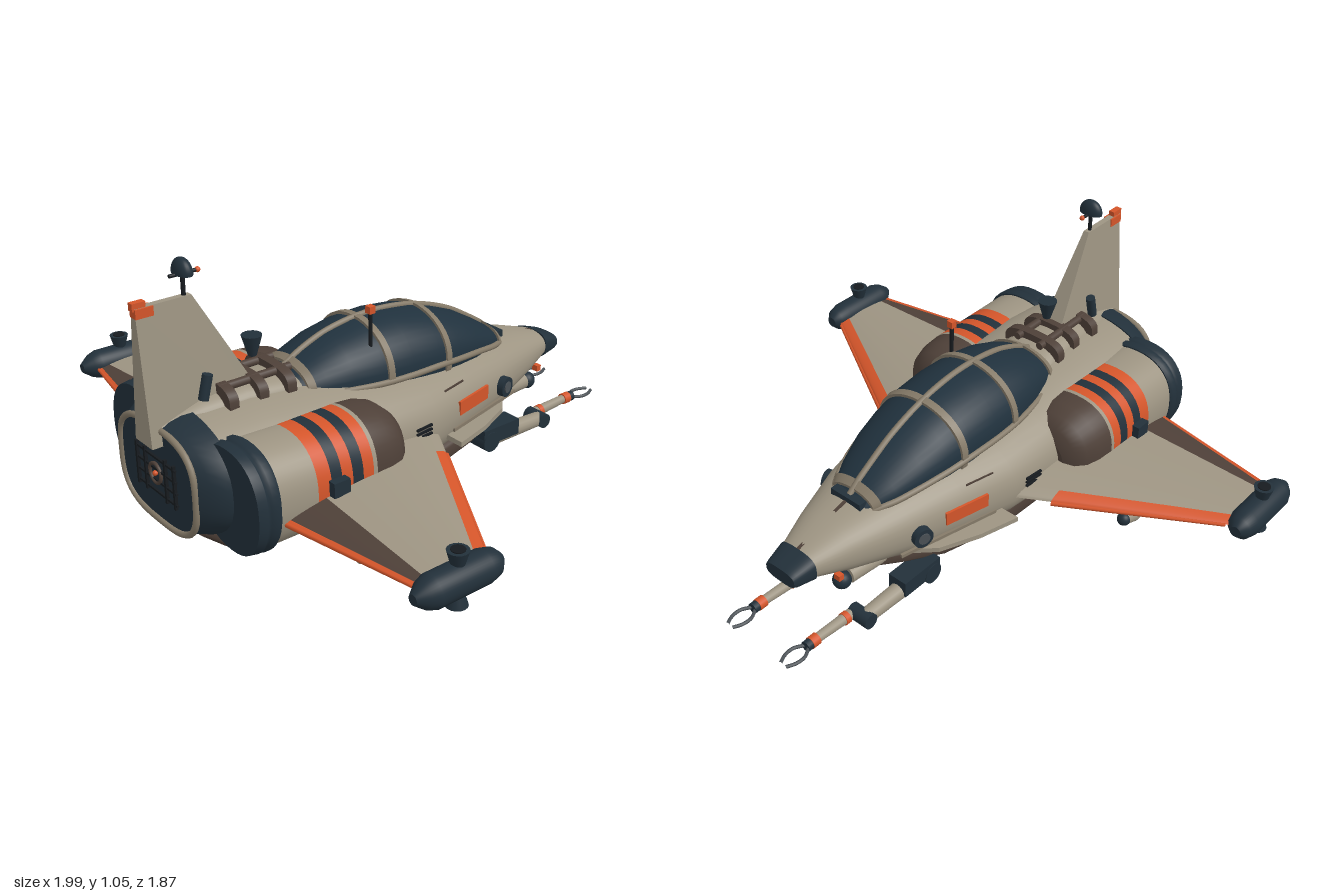
import * as THREE from 'three';

const M = {};
for (const [name, color] of Object.entries({
  hullBeige: 0x9d9482, trimBeige: 0x857a68, orange: 0xd4552a, navy: 0x22303a, glass: 0x20313d,
  brown: 0x4e4038, black: 0x171b1f, steel: 0x4a5055 })) M[name] = new THREE.MeshStandardMaterial({ color, name });
const V = (x, y, z) => new THREE.Vector3(x, y, z);

// Superellipse cross-sections [z, halfWidth, bottom, top] joined into a closed skin
function loft(sections, { cx = 0, n = 2.3, seg = 40 } = {}) {
  const pos = [], idx = [], K = sections.length;
  const ring = ([z, w, b, t]) => {
    for (let i = 0; i < seg; i++) {
      const a = i / seg * Math.PI * 2, c = Math.cos(a), s = Math.sin(a);
      pos.push(cx + w * Math.sign(c) * Math.abs(c) ** (2 / n), (b + t) / 2 + (t - b) / 2 * Math.sign(s) * Math.abs(s) ** (2 / n), z);
    }
  };
  sections.forEach(ring);
  for (let k = 0; k < K - 1; k++) for (let i = 0; i < seg; i++) {
    const j = (i + 1) % seg, a = k * seg, b = a + seg;
    idx.push(a + i, a + j, b + j, a + i, b + j, b + i);
  }
  for (const end of [0, K - 1]) {
    const start = pos.length / 3, [z, , b, t] = sections[end];
    ring(sections[end]);
    pos.push(cx, (b + t) / 2, z);
    for (let i = 0; i < seg; i++) {
      const j = (i + 1) % seg;
      idx.push(start + seg, start + (end ? i : j), start + (end ? j : i));
    }
  }
  const g = new THREE.BufferGeometry();
  g.setAttribute('position', new THREE.Float32BufferAttribute(pos, 3));
  g.setIndex(idx);
  g.computeVertexNormals();
  return g;
}

export function createModel() {
  const root = new THREE.Group();
  root.name = 'spacecraft';
  const add = (name, geo, mat, x = 0, y = 0, z = 0) => {
    const m = new THREE.Mesh(geo, M[mat]);
    m.name = name;
    m.position.set(x, y, z);
    root.add(m);
    return m;
  };
  const box = (name, mat, w, h, d, x, y, z) => add(name, new THREE.BoxGeometry(w, h, d), mat, x, y, z);
  const rod = (name, mat, a, b, r0, r1 = r0, seg = 16) => {
    const d = b.clone().sub(a), mid = a.clone().add(b).multiplyScalar(0.5);
    const m = add(name, new THREE.CylinderGeometry(r1, r0, d.length(), seg), mat, mid.x, mid.y, mid.z);
    m.quaternion.setFromUnitVectors(V(0, 1, 0), d.normalize());
    return m;
  };
  const ball = (name, mat, r, x, y, z) => add(name, new THREE.SphereGeometry(r, 20, 14), mat, x, y, z);
  const tube = (name, mat, pts, r, closed = false) =>
    add(name, new THREE.TubeGeometry(new THREE.CatmullRomCurve3(pts, closed), 64, r, 8, closed), mat);

  // Hull, nose cap, tail section and belly
  add('hull', loft([[-0.73, 0.078, 0.335, 0.43], [-0.6, 0.13, 0.29, 0.47], [-0.4, 0.2, 0.24, 0.51], [-0.2, 0.25, 0.205, 0.53],
    [0, 0.3, 0.18, 0.545], [0.2, 0.32, 0.17, 0.565], [0.4, 0.315, 0.17, 0.585], [0.6, 0.305, 0.18, 0.595], [0.79, 0.295, 0.2, 0.583]]), 'hullBeige');
  add('noseCap', loft([[-0.805, 0.064, 0.35, 0.405], [-0.79, 0.069, 0.343, 0.412], [-0.725, 0.082, 0.332, 0.434]], { n: 3 }), 'navy');
  add('tailSection', loft([[0.785, 0.302, 0.195, 0.588], [0.82, 0.295, 0.198, 0.583], [0.86, 0.262, 0.208, 0.572], [0.888, 0.228, 0.215, 0.56]]), 'navy');
  add('belly', loft([[-0.56, 0.09, 0.272, 0.32], [-0.4, 0.155, 0.222, 0.29], [-0.25, 0.2, 0.175, 0.26], [0, 0.235, 0.135, 0.24], [0.35, 0.24, 0.12, 0.24],
    [0.65, 0.22, 0.13, 0.24], [0.76, 0.19, 0.145, 0.24], [0.82, 0.15, 0.19, 0.25]], { n: 4 }), 'brown');
  box('noseSeam', 'brown', 0.012, 0.012, 0.23, 0, 0.455, -0.62).rotation.x = -0.27;

  // Rear hatch with rim, bars and lock wheel
  const oval = (w, h, z) => Array.from({ length: 32 }, (_, i) => {
    const c = Math.cos(i * Math.PI / 16), s = Math.sin(i * Math.PI / 16);
    return V(w * Math.sign(c) * Math.abs(c) ** 0.65, 0.385 + h * Math.sign(s) * Math.abs(s) ** 0.65, z);
  });
  tube('hatchRim', 'trimBeige', oval(0.222, 0.165, 0.888), 0.011, true);
  for (const y of [0.325, 0.365, 0.405, 0.445]) box('hatchBar', 'black', 0.24, 0.007, 0.008, 0, y, 0.892);
  for (const x of [-0.11, -0.06, 0.06, 0.11]) box('hatchPost', 'black', 0.01, 0.15, 0.01, x, 0.385, 0.893);
  add('hatchWheel', new THREE.TorusGeometry(0.033, 0.006, 8, 24), 'brown', 0, 0.39, 0.895);
  ball('hatchHub', 'orange', 0.009, 0, 0.39, 0.896);

  // Canopy glass and its frame
  const can = [[-0.49, 0.075, 0.44, 0.503], [-0.45, 0.1, 0.44, 0.535], [-0.4, 0.125, 0.43, 0.567], [-0.3, 0.157, 0.41, 0.625], [-0.2, 0.176, 0.39, 0.665],
    [-0.1, 0.188, 0.38, 0.692], [0.02, 0.192, 0.37, 0.706], [0.14, 0.188, 0.38, 0.702], [0.25, 0.172, 0.41, 0.682], [0.34, 0.148, 0.45, 0.648], [0.42, 0.115, 0.5, 0.605]];
  const canAt = z => {
    const i = Math.min(can.length - 2, Math.max(0, can.findIndex(c => c[0] > z) - 1)), f = (z - can[i][0]) / (can[i + 1][0] - can[i][0]);
    return can[i].map((v, k) => v + (can[i + 1][k] - v) * f);
  };
  add('canopyGlass', loft(can, { n: 2.1 }), 'glass');
  for (const z of [-0.465, -0.14, 0.115, 0.39]) add('canopyArch', loft([-0.012, 0.012].map(d => {
    const [zz, w, b, t] = canAt(z + d);
    return [zz, w + 0.008, b, t + 0.01];
  }), { n: 2.1 }), 'trimBeige');
  tube('canopySpine', 'trimBeige', can.map(c => V(0, c[3], c[0])), 0.011);
  for (const s of [1, -1]) tube('canopySill', 'trimBeige', can.map(c => V(s * (c[1] + 0.002), (c[2] + c[3]) / 2 - 0.005, c[0])), 0.011);
  box('canopyLatch', 'navy', 0.13, 0.025, 0.03, 0, 0.495, -0.495);

  // Dorsal spine, hoops and vents
  add('dorsalSpine', loft([[0.37, 0.12, 0.5, 0.59], [0.45, 0.112, 0.5, 0.62], [0.6, 0.1, 0.5, 0.625], [0.75, 0.085, 0.5, 0.61], [0.885, 0.06, 0.48, 0.575]]), 'hullBeige');
  for (const [z, w] of [[0.46, 0.122], [0.56, 0.115], [0.67, 0.115]])
    add('dorsalHoop', loft([[z - 0.017, w, 0.53, 0.645], [z + 0.017, w, 0.53, 0.645]], { n: 3 }), 'brown');
  rod('dorsalPipe', 'brown', V(0.05, 0.63, 0.42), V(0.05, 0.63, 0.68), 0.014);
  rod('dorsalPipe', 'brown', V(-0.05, 0.63, 0.42), V(-0.05, 0.63, 0.68), 0.014);
  for (const s of [1, -1]) rod('tailVent', 'navy', V(s * 0.05, 0.61, 0.74), V(s * 0.05, 0.69, 0.72), 0.017);

  // Floating manoeuvring bells above and below
  rod('upperBell', 'navy', V(0, 0.68, 0.525), V(0, 0.75, 0.525), 0.014, 0.034);
  rod('lowerBell', 'navy', V(0, 0.08, 0.525), V(0, 0.01, 0.525), 0.014, 0.034);

  // Tail fin tapering upward, with mast and dish
  const finShape = new THREE.Shape([[-0.925, 0.5], [-0.925, 0.94], [-0.735, 0.94], [-0.555, 0.62], [-0.54, 0.5]].map(p => new THREE.Vector2(...p)));
  const fin = new THREE.ExtrudeGeometry(finShape, { depth: 1, bevelEnabled: false });
  fin.rotateY(Math.PI / 2);
  const fp = fin.attributes.position;
  for (let i = 0; i < fp.count; i++) fp.setX(i, (fp.getX(i) - 0.5) * THREE.MathUtils.mapLinear(fp.getY(i), 0.5, 0.94, 0.1, 0.022));
  fin.computeVertexNormals();
  add('tailFin', fin, 'hullBeige');
  box('finPatch', 'orange', 0.034, 0.03, 0.06, 0, 0.924, 0.896);
  box('finLight', 'orange', 0.022, 0.025, 0.045, 0, 0.945, 0.91);
  rod('dishMast', 'black', V(0, 0.93, 0.755), V(0, 1.03, 0.755), 0.007);
  add('dish', new THREE.SphereGeometry(0.045, 24, 10, 0, Math.PI * 2, 0, Math.PI / 2), 'navy', 0, 1.013, 0.755).scale.z = 0.6;
  rod('dishBase', 'navy', V(0, 1.008, 0.755), V(0, 1.014, 0.755), 0.045, 0.045, 24).scale.z = 0.6;
  rod('dishFeed', 'black', V(0, 1.008, 0.8), V(0, 1.008, 0.71), 0.006);
  ball('dishFeedTip', 'orange', 0.009, 0, 1.008, 0.703);
  rod('beaconMast', 'black', V(0.13, 0.6, 0.155), V(0.13, 0.77, 0.155), 0.007);
  box('beacon', 'orange', 0.024, 0.025, 0.024, 0.13, 0.78, 0.155);

  // Wing surface rules
  const span = x => (x - 0.25) / 0.65;
  const lead = x => THREE.MathUtils.lerp(-0.03, 0.355, span(x));
  const trail = x => THREE.MathUtils.lerp(0.735, 0.62, span(x));
  const wingY = (x, z, side) => {
    const v = THREE.MathUtils.clamp((z - lead(x)) / (trail(x) - lead(x)), 0, 1);
    return 0.333 + side * THREE.MathUtils.lerp(0.068, 0.02, span(x)) * (0.12 + 0.88 * Math.sin(Math.PI * v ** 0.85) ** 0.7);
  };
  const patch = (s, name, mat, x0, x1, zA, zB, side) => {
    const pos = [], idx = [], U = 8, W = 12;
    for (let i = 0; i <= U; i++) for (let j = 0; j <= W; j++) {
      const x = x0 + (x1 - x0) * i / U, z = zA(x) + (zB(x) - zA(x)) * j / W;
      pos.push(s * x, wingY(x, z, side), z);
      if (i < U && j < W) {
        const a = i * (W + 1) + j, b = a + W + 1;
        idx.push(...(s * side > 0 ? [a, a + 1, b + 1, a, b + 1, b] : [a, b + 1, a + 1, a, b, b + 1]));
      }
    }
    const g = new THREE.BufferGeometry();
    g.setAttribute('position', new THREE.Float32BufferAttribute(pos, 3));
    g.setIndex(idx);
    g.computeVertexNormals();
    add(name, g, mat);
  };

  for (const s of [1, -1]) {
    // Engine nacelle with painted bands
    const N = z => [z, 0.16, 0.215, 0.55], cx = s * 0.267;
    add('nacelleNose', loft([[0.2, 0.07, 0.31, 0.45], [0.215, 0.11, 0.265, 0.5], [0.25, 0.14, 0.235, 0.53], [0.3, 0.155, 0.22, 0.545], N(0.365)], { cx }), 'brown');
    [[0.365, 0.38, 'hullBeige'], [0.38, 0.42, 'orange'], [0.42, 0.46, 'navy'], [0.46, 0.5, 'orange'], [0.5, 0.54, 'navy'], [0.54, 0.59, 'orange'], [0.59, 0.735, 'hullBeige']]
      .forEach(([a, b, m]) => add('nacelleBand', loft([N(a), N(b)], { cx }), m));
    add('nacelleRing', loft([[0.725, 0.163, 0.21, 0.555], [0.735, 0.17, 0.205, 0.56], [0.755, 0.17, 0.205, 0.56], [0.76, 0.162, 0.213, 0.552],
      [0.77, 0.162, 0.213, 0.552], [0.775, 0.168, 0.207, 0.558], [0.805, 0.163, 0.212, 0.553]], { cx }), 'navy');
    box('nacelleBox', 'navy', 0.03, 0.05, 0.06, s * 0.437, 0.4, 0.52);

    // Wing
    const le = x => lead(x) + 0.045, aft = x => 0.555 + 0.025 * span(x), te = x => trail(x) - 0.012;
    patch(s, 'wingRootEdge', 'hullBeige', 0.25, 0.4, lead, le, 1);
    patch(s, 'wingLeadingEdge', 'orange', 0.4, 0.91, lead, le, 1);
    patch(s, 'wingTop', 'hullBeige', 0.25, 0.91, le, aft, 1);
    patch(s, 'wingFlap', 'brown', 0.25, 0.91, aft, te, 1);
    patch(s, 'wingTrailingEdge', 'orange', 0.25, 0.91, te, trail, 1);
    patch(s, 'wingUnderside', 'brown', 0.25, 0.91, lead, trail, -1);
    for (const [edge, m, f] of [[lead, 'orange', 0.006], [trail, 'orange', 0.006]])
      rod('wingEdgeBead', m, V(s * 0.4, 0.333, edge(0.4)), V(s * 0.9, 0.333, edge(0.9)), 0.0085, f, 8);

    // Wing tip pod with bells
    const X = s * 0.943;
    add('tipPod', loft([[0.345, 0.02, 0.315, 0.355], [0.37, 0.043, 0.292, 0.378], [0.41, 0.053, 0.282, 0.388], [0.6, 0.053, 0.282, 0.388], [0.63, 0.043, 0.292, 0.378], [0.665, 0.017, 0.318, 0.352]], { cx: X, n: 2 }), 'navy');
    rod('tipBellUpper', 'navy', V(X, 0.37, 0.505), V(X, 0.428, 0.505), 0.018, 0.034);
    rod('tipBellLower', 'navy', V(X, 0.3, 0.505), V(X, 0.25, 0.505), 0.018, 0.034);
    add('tipBellMouth', new THREE.CylinderGeometry(0.022, 0.022, 0.004, 20), 'black', X, 0.429, 0.505);

    // Underwing store
    const P = s * 0.575;
    add('storeBody', loft([[0.25, 0.022, 0.215, 0.259], [0.29, 0.033, 0.204, 0.27], [0.5, 0.033, 0.204, 0.27], [0.56, 0.02, 0.217, 0.257]], { cx: P, n: 2 }), 'hullBeige');
    ball('storeNose', 'navy', 0.024, P, 0.237, 0.25);
    box('storePylon', 'navy', 0.02, 0.06, 0.14, P, 0.28, 0.4);

    // Side strake
    const strake = new THREE.Shape([[0.19, -0.4], [0.25, -0.34], [0.31, -0.2], [0.35, -0.055], [0.25, -0.055], [0.19, -0.1]].map(([x, z]) => new THREE.Vector2(s * x, z)));
    add('strake', new THREE.ExtrudeGeometry(strake, { depth: 0.018, bevelEnabled: false }).rotateX(Math.PI / 2), 'hullBeige', 0, 0.318, 0);

    // Flank details: painted panel, porthole, slots and nose lights
    const yaw = s * 0.235;
    box('flankPanel', 'orange', 0.009, 0.05, 0.17, s * 0.249, 0.392, -0.2).rotation.y = yaw;
    box('flankTrim', 'trimBeige', 0.01, 0.012, 0.38, s * 0.232, 0.325, -0.27).rotation.y = yaw;
    for (const y of [0.37, 0.385, 0.4]) box('flankSlot', 'black', 0.008, 0.007, 0.07, s * 0.311, y, 0.075).rotation.y = s * 0.1;
    box('upperSlot', 'brown', 0.008, 0.007, 0.11, s * 0.232, 0.462, -0.12).rotation.y = yaw;
    rod('porthole', 'navy', V(s * 0.19, 0.375, -0.375), V(s * 0.226, 0.375, -0.385), 0.036, 0.036, 24);
    rod('portholeLens', 'steel', V(s * 0.2, 0.375, -0.376), V(s * 0.229, 0.375, -0.386), 0.021, 0.021, 24);
    box('noseLight', 'orange', 0.025, 0.022, 0.02, s * 0.105, 0.33, -0.655);
    ball('noseSensor', 'navy', 0.032, s * 0.085, 0.28, -0.625);
    rod('sensorBarrel', 'hullBeige', V(s * 0.1, 0.285, -0.46), V(s * 0.088, 0.285, -0.6), 0.03);

    // Manipulator arm with two-finger claw
    box('armShoulder', 'navy', 0.075, 0.06, 0.17, s * 0.175, 0.19, -0.38);
    rod('armJoint', 'navy', V(s * 0.13, 0.17, -0.33), V(s * 0.215, 0.17, -0.33), 0.038);
    rod('upperArm', 'hullBeige', V(s * 0.18, 0.17, -0.33), V(s * 0.17, 0.156, -0.61), 0.034, 0.027);
    rod('armElbow', 'navy', V(s * 0.2, 0.155, -0.615), V(s * 0.115, 0.155, -0.615), 0.028);
    rod('forearm', 'hullBeige', V(s * 0.125, 0.155, -0.63), V(s * 0.125, 0.165, -0.79), 0.02, 0.016);
    rod('forearmBand', 'orange', V(s * 0.125, 0.156, -0.65), V(s * 0.125, 0.157, -0.67), 0.022);
    rod('wrist', 'orange', V(s * 0.125, 0.165, -0.785), V(s * 0.125, 0.165, -0.815), 0.021);
    rod('wristCap', 'navy', V(s * 0.125, 0.165, -0.815), V(s * 0.125, 0.165, -0.835), 0.019);
    for (const f of [1, -1]) tube('clawFinger', 'steel', [[0.008, -0.83], [0.027, -0.865], [0.026, -0.9], [0.012, -0.932]].map(([x, z]) => V(s * 0.125 + f * x, 0.163, z)), 0.006);
  }
  return root;
}
